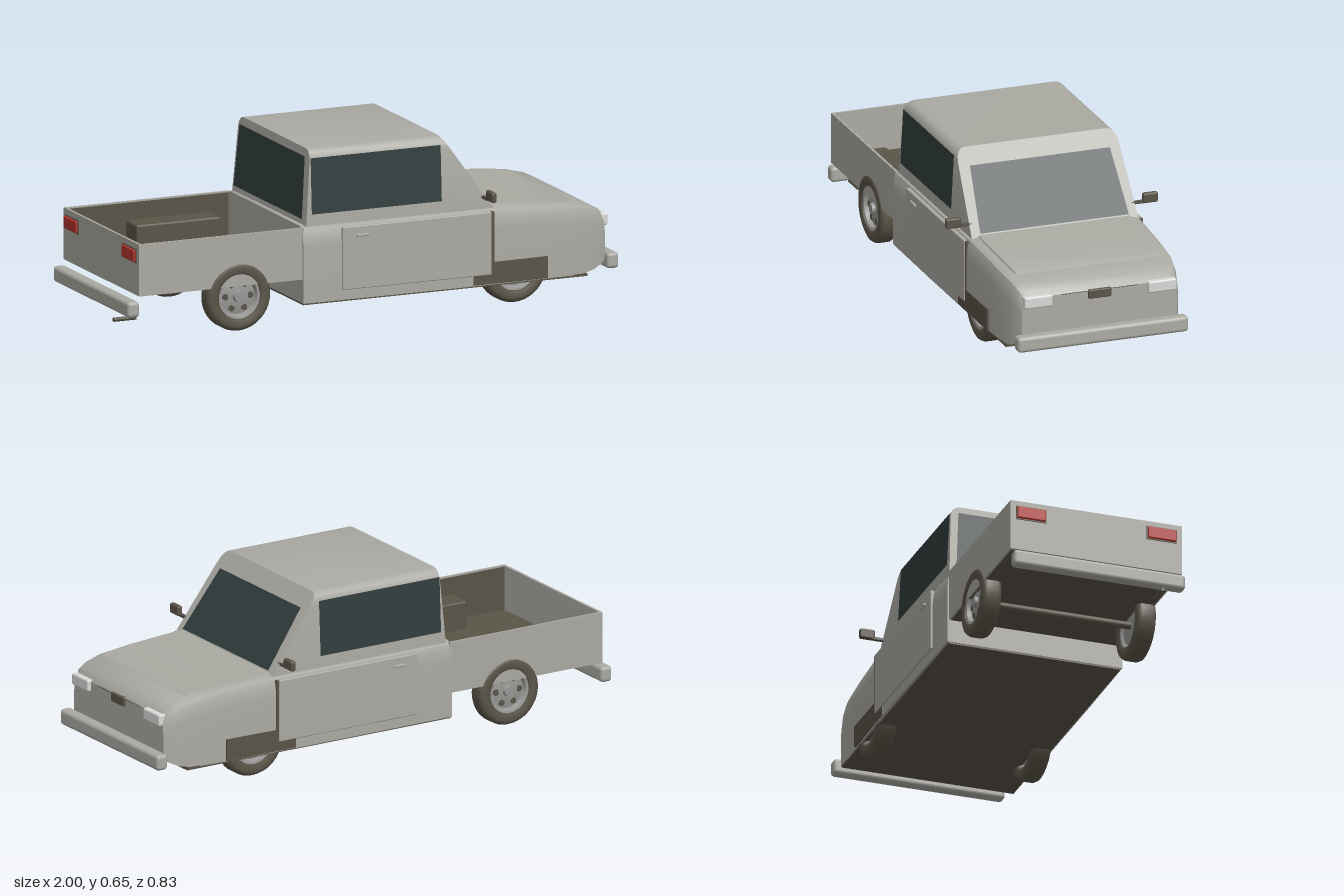
import * as THREE from 'three';
import { toCreasedNormals } from 'three/addons/utils/BufferGeometryUtils.js';
import { RoundedBoxGeometry } from 'three/addons/geometries/RoundedBoxGeometry.js';

const mat = (name, color, side = THREE.FrontSide) => {
  const m = new THREE.MeshStandardMaterial({ color, side });
  m.name = name;
  return m;
};

// Closed skin over rings of [x, y, z] points; rings run clockwise seen from the far end
function loft(rings, crease = 0.6) {
  const n = rings[0].length, last = (rings.length - 1) * n, index = [];
  for (let i = 0; i < rings.length - 1; i++) {
    for (let j = 0; j < n; j++) {
      const a = i * n + j, b = i * n + (j + 1) % n, c = b + n, d = a + n;
      index.push(a, d, c, a, c, b);
    }
  }
  for (let j = 1; j < n - 1; j++) {
    index.push(0, j, j + 1, last, last + j + 1, last + j);
  }
  const g = new THREE.BufferGeometry();
  g.setAttribute('position', new THREE.Float32BufferAttribute(rings.flat(2), 3));
  g.setIndex(index);
  return toCreasedNormals(g, crease);
}

// Flat four-cornered pane
function pane(corners) {
  const g = new THREE.BufferGeometry();
  g.setAttribute('position', new THREE.Float32BufferAttribute(corners.flat(), 3));
  g.setIndex([0, 1, 2, 0, 2, 3]);
  g.computeVertexNormals();
  return g;
}

export function createModel() {
  const model = new THREE.Group();
  model.name = 'pickupTruck';
  const paint = mat('body grey', 0xaaa9a2);
  const dark = mat('dark brown', 0x5a5448);
  const glass = mat('dark glass', 0x323d3d, THREE.DoubleSide);
  const metal = mat('wheel metal', 0x979895);
  const lamp = mat('headlight white', 0xd8dad6);
  const red = mat('tail light red', 0xb5352c);

  const add = (name, geometry, material, parent = model) => {
    const m = new THREE.Mesh(geometry, material);
    m.name = name;
    parent.add(m);
    return m;
  };
  // Box given by its extents, with optional rounded edges
  const box = (name, material, [x0, x1], [y0, y1], [z0, z1], r = 0) => {
    const s = [x1 - x0, y1 - y0, z1 - z0];
    const g = r ? new RoundedBoxGeometry(...s, 3, r) : new THREE.BoxGeometry(...s);
    g.translate((x0 + x1) / 2, (y0 + y1) / 2, (z0 + z1) / 2);
    return add(name, g, material);
  };
  const span = (s, a, b) => (s > 0 ? [a, b] : [-b, -a]);

  // Lower body: sections of x, half width, bottom, top
  const bodySections = [
    [-0.28, 0.342, 0.08, 0.368], [0.1, 0.345, 0.08, 0.368], [0.49, 0.345, 0.08, 0.368],
    [0.7, 0.34, 0.08, 0.355], [0.84, 0.334, 0.08, 0.342], [0.9, 0.324, 0.092, 0.328],
    [0.935, 0.315, 0.108, 0.311], [0.955, 0.305, 0.122, 0.285],
  ];
  add('body', loft(bodySections.map(([x, w, b, t]) => {
    const half = [[w, b], [w, t - 0.075], [w - 0.004, t - 0.032], [w - 0.012, t - 0.01], [w - 0.03, t]];
    const other = half.map(([z, y]) => [-z, y]).reverse();
    return [...half, ...other].map(([z, y]) => [x, y, z]);
  })), paint);
  box('underbody', dark, [-0.278, 0.87], [0.073, 0.083], [-0.335, 0.335]);

  // Raised bonnet panel
  const bonnet = [[0.485, 0.305, 0.374], [0.7, 0.3, 0.361], [0.83, 0.293, 0.349], [0.85, 0.288, 0.338]];
  add('bonnet', loft(bonnet.map(([x, w, y]) =>
    [[x, y - 0.02, w], [x, y, w - 0.006], [x, y, -w + 0.006], [x, y - 0.02, -w]])), paint);

  // Cab: rectangles stacked upward, rounding into the roof
  const cabFront = (y) => 0.495 - (y - 0.365) * 0.205 / 0.285;
  const cabBack = (y) => -0.262 + (y - 0.365) * 0.022 / 0.285;
  const cabLevels = [[0.365, 0.327], [0.605, 0.316], [0.625, 0.312], [0.639, 0.303], [0.647, 0.292], [0.65, 0.278]];
  add('cab', loft(cabLevels.map(([y, w]) => {
    const f = cabFront(y), b = cabBack(y);
    return [[b, y, -w], [f, y, -w], [f, y, w], [b, y, w]];
  })), paint);

  // Glass
  const wf = (y) => cabFront(y) + 0.006, wb = (y) => cabBack(y) - 0.008;
  add('windscreen', pane([
    [wf(0.38), 0.38, 0.292], [wf(0.38), 0.38, -0.292],
    [wf(0.592), 0.592, -0.275], [wf(0.592), 0.592, 0.275]]), glass);
  add('rearWindow', pane([
    [wb(0.39), 0.39, -0.302], [wb(0.39), 0.39, 0.302],
    [wb(0.622), 0.622, 0.288], [wb(0.622), 0.622, -0.288]]), glass);

  for (const s of [1, -1]) {
    const side = s > 0 ? 'left' : 'right';
    // s > 0 is the +z flank, which is the right-hand side when driving
    add(side + 'SideWindow', pane([
      [-0.24, 0.41, s * 0.329], [0.285, 0.41, s * 0.329],
      [0.285, 0.62, s * 0.318], [-0.24, 0.62, s * 0.318]]), glass);

    // Doors with seam and handle
    box(side + 'Door', paint, [-0.125, 0.478], [0.118, 0.355], span(s, 0.335, 0.351), 0.004);
    box(side + 'DoorSeam', dark, [0.478, 0.489], [0.12, 0.355], span(s, 0.336, 0.348));
    box(side + 'DoorHandle', paint, [-0.07, -0.02], [0.315, 0.326], span(s, 0.348, 0.358), 0.003);

    // Dark wheel opening panel
    const arch = new THREE.Shape([[0.405, 0.083], [0.705, 0.083], [0.705, 0.165], [0.48, 0.165], [0.48, 0.12], [0.405, 0.12]]
      .map(([x, y]) => new THREE.Vector2(x, y)));
    const archMesh = add(side + 'FrontArch', new THREE.ExtrudeGeometry(arch, { depth: 0.008, bevelEnabled: false }), dark);
    archMesh.position.z = s > 0 ? 0.3395 : -0.3475;

    // Mirrors
    box(side + 'MirrorArm', dark, [0.448, 0.462], [0.404, 0.414], span(s, 0.315, 0.37));
    box(side + 'MirrorHousing', dark, [0.447, 0.468], [0.404, 0.443], span(s, 0.358, 0.417), 0.007);

    // Lights
    box(side + 'Headlight', lamp, [0.935, 0.97], [0.248, 0.293], span(s, 0.188, 0.299), 0.007);
    box(side + 'TailLight', red, [-0.952, -0.937], [0.295, 0.34], span(s, 0.2, 0.31), 0.004);
    box(side + 'TailLightFrame', dark, [-0.944, -0.936], [0.291, 0.344], span(s, 0.196, 0.314));

    // Bed side with dark liner and wheel box
    box(side + 'BedSide', paint, [-0.94, -0.275], [0.17, 0.365], span(s, 0.325, 0.335));
    box(side + 'BedLiner', dark, [-0.93, -0.278], [0.19, 0.36], span(s, 0.32, 0.326));
    box(side + 'WheelBox', dark, [-0.7, -0.36], [0.19, 0.3], span(s, 0.21, 0.31), 0.008);
  }

  // Load bed
  box('tailgate', paint, [-0.94, -0.93], [0.17, 0.365], [-0.335, 0.335]);
  box('bedFloor', dark, [-0.932, -0.275], [0.168, 0.195], [-0.328, 0.328]);

  // Nose plate, bumpers and exhaust
  box('noseVent', dark, [0.94, 0.963], [0.254, 0.289], [-0.045, 0.045], 0.005);
  box('noseSeam', dark, [0.95, 0.957], [0.283, 0.285], [-0.15, 0.15]);
  box('frontBumper', paint, [0.952, 1], [0.09, 0.15], [-0.335, 0.335], 0.014);
  box('rearBumper', paint, [-0.984, -0.936], [0.09, 0.15], [-0.335, 0.335], 0.014);
  const exhaust = add('exhaust', new THREE.CylinderGeometry(0.008, 0.008, 0.09, 16), dark);
  exhaust.rotation.z = Math.PI / 2;
  exhaust.position.set(-0.955, 0.068, 0.238);

  // Wheels: outer face points along local +y before turning
  const tyreProfile = [[0.08, -0.03], [0.09, -0.036], [0.112, -0.0375], [0.124, -0.032], [0.13, -0.02],
    [0.13, 0.02], [0.124, 0.032], [0.112, 0.0375], [0.09, 0.036], [0.08, 0.03], [0.08, -0.03]]
    .map(([r, y]) => new THREE.Vector2(r, y));
  const tyreGeo = new THREE.LatheGeometry(tyreProfile, 40);
  const rimProfile = [[0, -0.022], [0.07, -0.022], [0.083, -0.032], [0.083, 0.032], [0.074, 0.03],
    [0.068, 0.014], [0.04, 0.02], [0, 0.02]].map(([r, y]) => new THREE.Vector2(r, y));
  const rimGeo = toCreasedNormals(new THREE.LatheGeometry(rimProfile, 40), 0.5);
  const hubGeo = new THREE.CylinderGeometry(0.018, 0.022, 0.014, 20);
  const holeGeo = new THREE.CylinderGeometry(0.012, 0.012, 0.008, 16);
  for (const [end, x] of [['front', 0.58], ['rear', -0.535]]) {
    for (const s of [1, -1]) {
      const wheel = new THREE.Group();
      wheel.name = end + (s > 0 ? 'Left' : 'Right') + 'Wheel';
      add('tyre', tyreGeo, dark, wheel);
      add('rim', rimGeo, metal, wheel);
      add('hub', hubGeo, metal, wheel).position.y = 0.025;
      for (let i = 0; i < 6; i++) {
        const a = i * Math.PI / 3;
        add('rimHole', holeGeo, dark, wheel).position.set(0.05 * Math.cos(a), 0.016, 0.05 * Math.sin(a));
      }
      wheel.rotation.x = s * Math.PI / 2;
      wheel.position.set(x, 0.13, s * 0.302);
      model.add(wheel);
    }
    const axle = add(end + 'Axle', new THREE.CylinderGeometry(0.014, 0.014, 0.58, 16), dark);
    axle.rotation.x = Math.PI / 2;
    axle.position.set(x, 0.13, 0);
  }
  return model;
}
